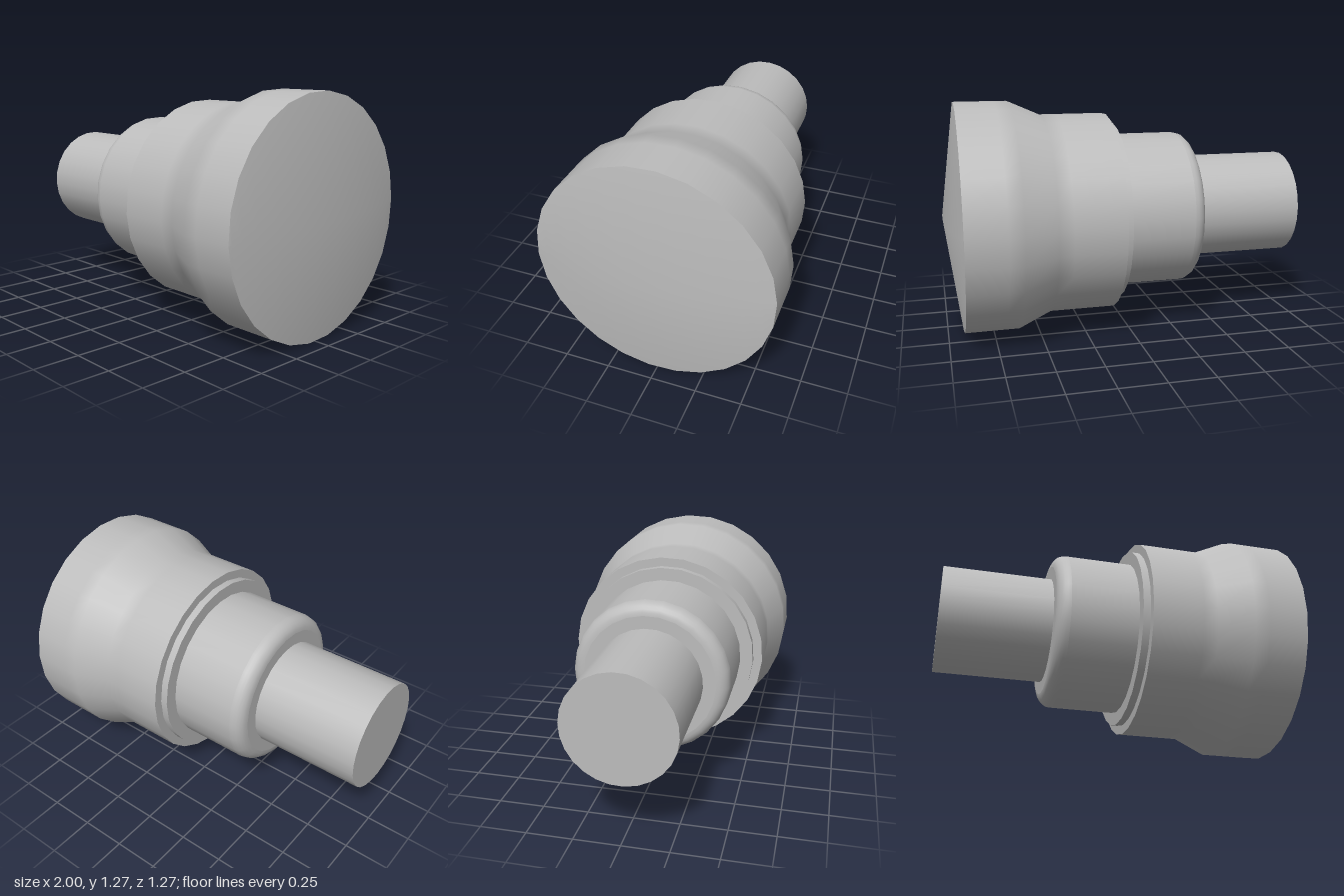
import * as THREE from 'three';

const SIDES = 26, PHASE = 0.0414, AXIS_Y = 0.638;
const HEAD_R = 0.638, HEAD_END = 0.915, CROWN = 0.085;

// Turned surface along x; each run of [x, radius] points is smooth within itself
function turned(points, material, name) {
  const geo = new THREE.LatheGeometry(
    points.map(([x, r]) => new THREE.Vector2(r, x)), SIDES, PHASE);
  geo.rotateZ(-Math.PI / 2);
  const mesh = new THREE.Mesh(geo, material);
  mesh.name = name;
  return mesh;
}

// End face: straight strips from the round rim up to an arched ridge
function crownedFace(material) {
  const pos = [], index = [], half = SIDES / 2;
  for (let k = 0; k <= half; k++) {
    const t = k * Math.PI / half, c = HEAD_R * Math.cos(t);
    const rim = a => [HEAD_R * Math.sin(a), HEAD_END, HEAD_R * Math.cos(a)];
    pos.push(...rim(PHASE + t),
      c * Math.sin(PHASE), HEAD_END + CROWN * Math.sin(t) ** 2, c * Math.cos(PHASE),
      ...rim(PHASE - t));
    if (k === half) break;
    for (let s = 0; s < 2; s++) {
      const a = 3 * k + s, b = a + 3;
      index.push(a, b, a + 1, b, b + 1, a + 1);
    }
  }
  const geo = new THREE.BufferGeometry();
  geo.setAttribute('position', new THREE.Float32BufferAttribute(pos, 3));
  geo.setIndex(index);
  geo.computeVertexNormals();
  geo.rotateZ(-Math.PI / 2);
  const mesh = new THREE.Mesh(geo, material);
  mesh.name = 'crownedFace';
  return mesh;
}

export function createModel() {
  const grey = new THREE.MeshStandardMaterial({ color: 0xbcbcbc });
  grey.name = 'plain grey';

  // Rounded shoulder of the collar
  const fillet = [];
  for (let i = 0; i <= 6; i++) {
    const a = i / 6 * Math.PI / 2;
    fillet.push([-0.33 - 0.07 * Math.cos(a), 0.366 + 0.07 * Math.sin(a)]);
  }

  const parts = {
    shaftEnd: [[-1, 0], [-1, 0.296]],
    shaft: [[-1, 0.296], [-0.4, 0.296]],
    collarFace: [[-0.4, 0.296], [-0.4, 0.366]],
    collarShoulder: fillet,
    collar: [[-0.33, 0.436], [0.04, 0.436]],
    ringFace: [[0.04, 0.436], [0.04, 0.508]],
    ring: [[0.04, 0.508], [0.08, 0.508]],
    bodyFace: [[0.08, 0.508], [0.08, 0.558]],
    flaredBody: [[0.08, 0.558], [0.36, 0.558], [0.44, 0.558],
      [0.62, HEAD_R], [0.7, HEAD_R], [HEAD_END, HEAD_R]],
  };

  const model = new THREE.Group();
  model.name = 'steppedPlug';
  for (const [name, points] of Object.entries(parts)) model.add(turned(points, grey, name));
  model.add(crownedFace(grey));
  model.children.forEach(m => { m.position.y = AXIS_Y; });
  return model;
}
